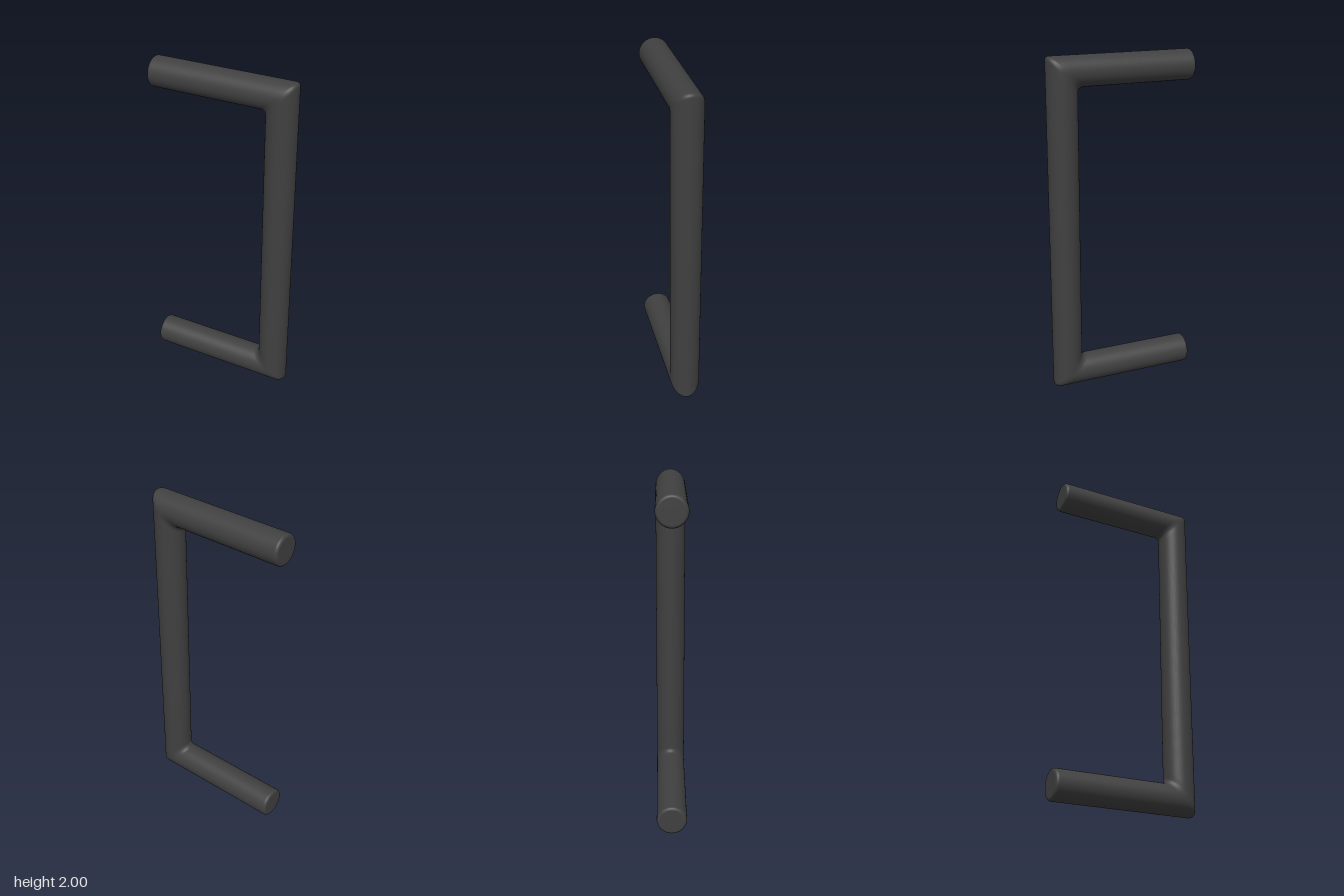
import * as THREE from 'three';

const R = 0.089;        // bar radius
const X = 0.438;        // half depth
const EDGE = 0.018;     // rounding of the free ends
const SIDES = 64, STEPS = 8;

// Points of the lower half of one lengthwise line, at angle a around the bar
function halfLine(a) {
  const pts = [];
  const add = (x, y, r) => pts.push([x, y, r * Math.sin(a)]);
  const c = Math.cos(a);
  // flat end, then its rounded rim
  add(-X, R, 0);
  for (let k = 0; k <= STEPS; k++) {
    const t = (k / STEPS) * Math.PI / 2;
    const r = R - EDGE + EDGE * Math.sin(t);
    add(-X + EDGE - EDGE * Math.cos(t), R - r * c, r);
  }
  // mitred corner with a small fillet
  const d = R * c, f = 0.026 - 0.005 * c;
  const cx = X - R + d - f, cy = R - d + f;
  add(cx - 0.03, R - d, R);
  for (let k = 0; k <= STEPS; k++) {
    const t = (k / STEPS) * Math.PI / 2;
    add(cx + f * Math.sin(t), cy - f * Math.cos(t), R);
  }
  add(X - R + d, cy + 0.03, R);
  return pts;
}

function barGeometry() {
  const position = [], index = [];
  let n = 0;
  for (let j = 0; j < SIDES; j++) {
    const low = halfLine((j / SIDES) * Math.PI * 2);
    // the upper half mirrors the lower one
    const high = low.map(([x, y, z]) => [x, 2 - y, z]).reverse();
    const line = [...low, ...high];
    n = line.length;
    position.push(...line.flat());
  }
  for (let j = 0; j < SIDES; j++) {
    const a = j * n, b = ((j + 1) % SIDES) * n;
    for (let i = 0; i < n - 1; i++) {
      index.push(a + i, a + i + 1, b + i, b + i, a + i + 1, b + i + 1);
    }
  }
  const geometry = new THREE.BufferGeometry();
  geometry.setAttribute('position', new THREE.Float32BufferAttribute(position, 3));
  geometry.setIndex(index);
  geometry.computeVertexNormals();
  return geometry;
}

export function createModel() {
  const group = new THREE.Group();
  group.name = 'pullHandle';
  const bar = new THREE.Mesh(
    barGeometry(),
    new THREE.MeshStandardMaterial({ color: 0x404040 })
  );
  bar.name = 'handleBar';
  group.add(bar);
  return group;
}
